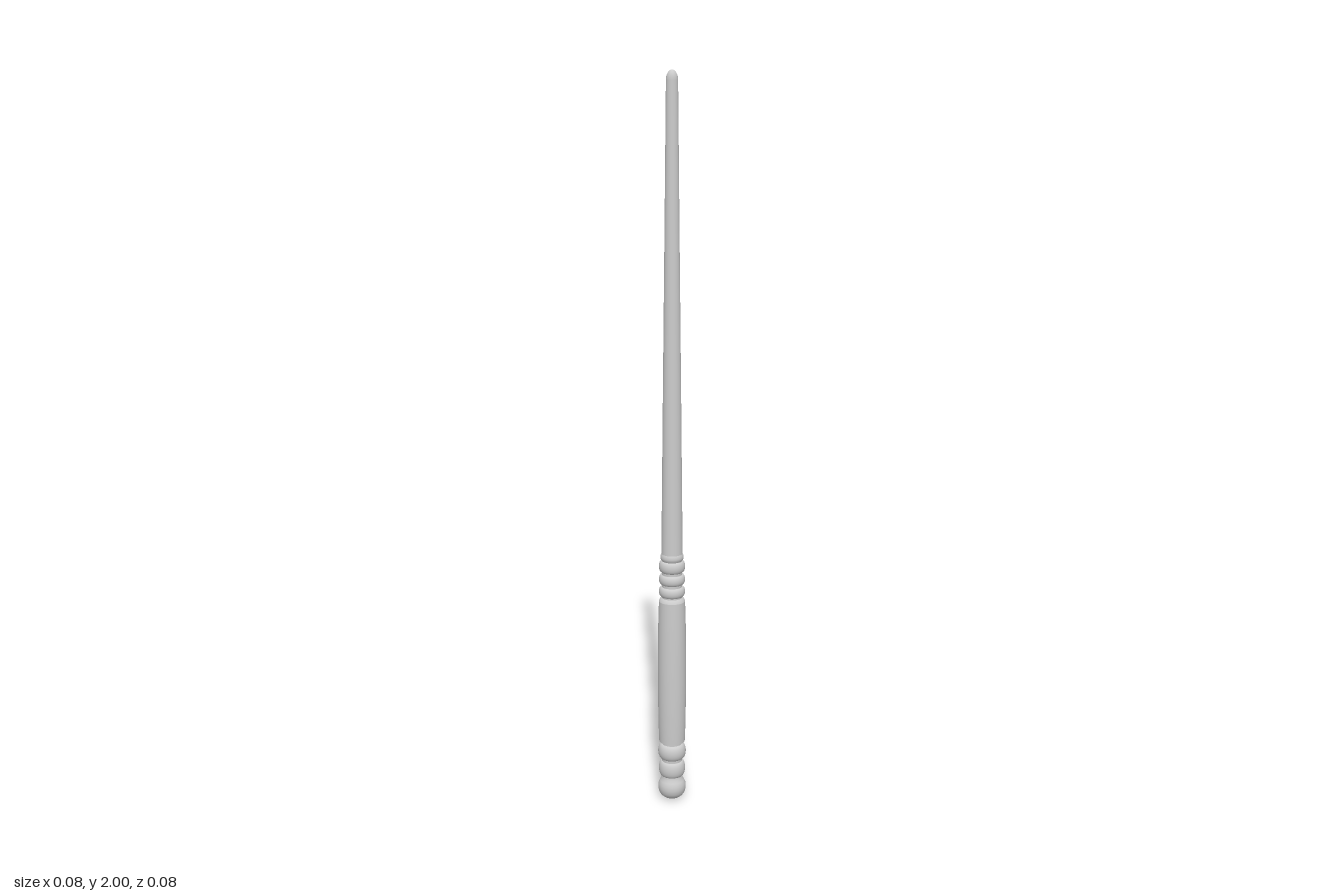
import * as THREE from 'three';

const SEGMENTS = 40;

export function createModel() {
  const wand = new THREE.Group();
  wand.name = 'wand';
  const material = new THREE.MeshStandardMaterial({ color: 0xcccccc });

  // Turns a profile of [radius, height] points, listed from bottom to top
  function turn(name, profile) {
    const points = profile.map(([r, y]) => new THREE.Vector2(r, y));
    const mesh = new THREE.Mesh(new THREE.LatheGeometry(points, SEGMENTS), material);
    mesh.name = name;
    wand.add(mesh);
  }

  // Rounded ring swelling from the neck radius to the full radius
  function bead(name, y0, y1, neck, full) {
    const profile = [];
    for (let i = 0; i <= 12; i++) {
      const a = (i / 12) * Math.PI;
      profile.push([
        neck + (full - neck) * Math.sin(a),
        (y0 + y1) / 2 - ((y1 - y0) / 2) * Math.cos(a),
      ]);
    }
    turn(name, profile);
  }

  // Pommel: a squat ball with a softly flattened base
  turn('pommel', [
    [0, 0], [0.012, 0.001], [0.022, 0.005], [0.031, 0.012], [0.037, 0.022],
    [0.039, 0.034], [0.038, 0.045], [0.034, 0.055], [0.029, 0.062], [0.028, 0.07],
  ]);

  // Two beads and a neck between pommel and grip
  bead('lowerBead', 0.07, 0.114, 0.028, 0.037);
  turn('lowerNeck', [[0.028, 0.114], [0.028, 0.122]]);
  bead('lowerBead', 0.122, 0.166, 0.028, 0.039);
  turn('gripNeck', [[0.028, 0.166], [0.028, 0.172]]);

  // Grip: gently swelling barrel with flat ends
  turn('gripBottom', [[0.028, 0.172], [0.036, 0.174]]);
  turn('grip', [
    [0.036, 0.174], [0.038, 0.23], [0.039, 0.32], [0.039, 0.42],
    [0.038, 0.52], [0.036, 0.588],
  ]);
  turn('gripTop', [[0.036, 0.588], [0.033, 0.595], [0.028, 0.598]]);

  // Three collar beads above the grip
  const collar = [[0.602, 0.63, 0.036], [0.637, 0.665, 0.036], [0.672, 0.704, 0.036]];
  let from = 0.598;
  for (const [y0, y1, full] of collar) {
    turn('collarNeck', [[0.028, from], [0.028, y0]]);
    bead('collarBead', y0, y1, 0.028, full);
    from = y1;
  }
  turn('shaftFoot', [[0.028, 0.704], [0.031, 0.709], [0.032, 0.714], [0.031, 0.72], [0.029, 0.724]]);

  // Long tapering shaft with a domed tip
  turn('shaft', [[0.029, 0.724], [0.0245, 1.15], [0.02, 1.55], [0.0155, 1.975]]);
  const tip = [];
  for (let i = 0; i <= 8; i++) {
    const a = (i / 8) * Math.PI / 2;
    tip.push([i === 8 ? 0 : 0.0155 * Math.cos(a), 1.975 + 0.025 * Math.sin(a)]);
  }
  turn('tip', tip);

  return wand;
}
